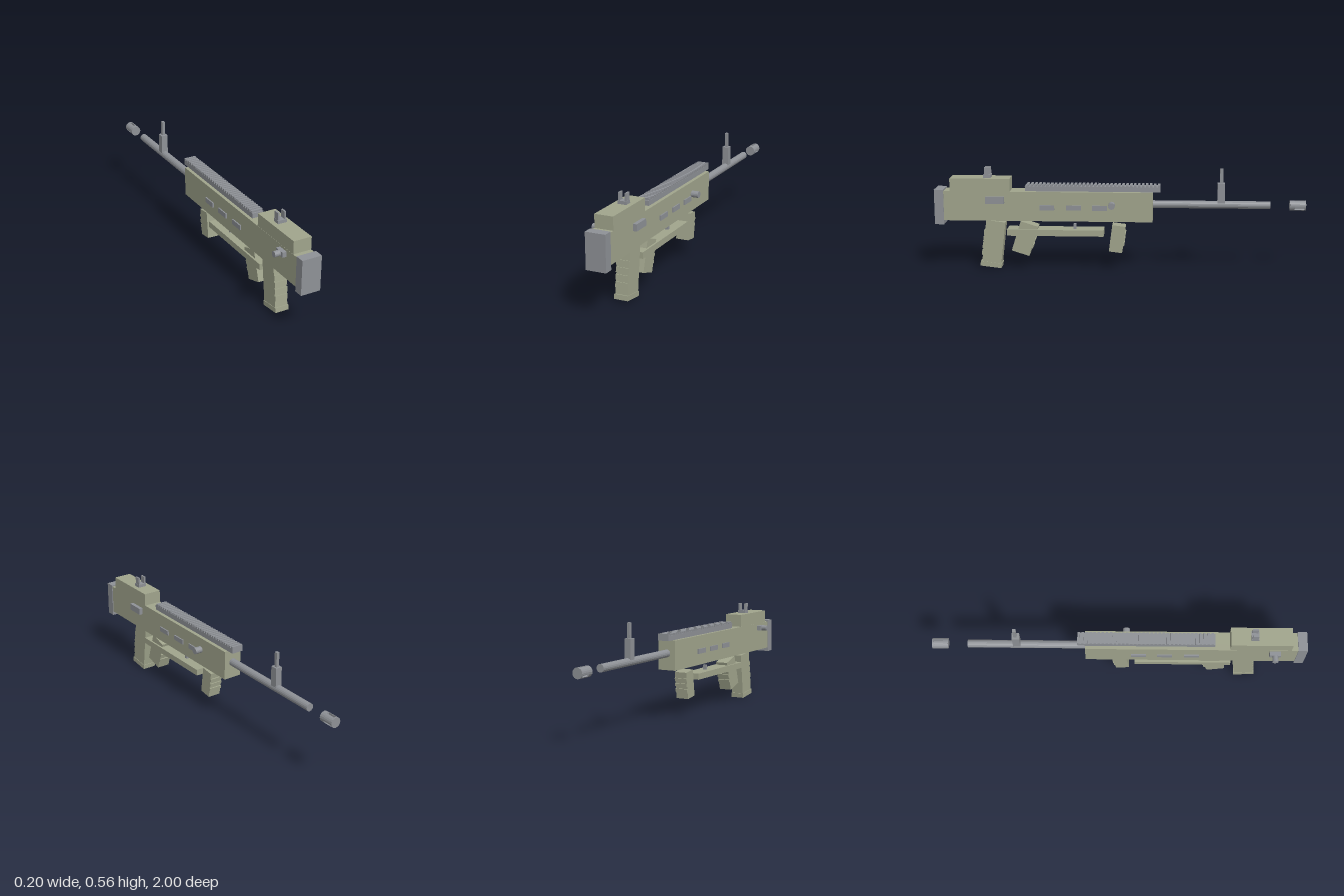
import * as THREE from 'three';

const green = new THREE.MeshStandardMaterial({ color: 0xa0a48c, flatShading: true });
const grey = new THREE.MeshStandardMaterial({ color: 0x8e9196, flatShading: true });
const CX = 0.006; // centre plane of the body

function add(parent, name, geometry, material) {
  const mesh = new THREE.Mesh(geometry, material);
  mesh.name = name;
  parent.add(mesh);
  return mesh;
}

// Box given by its limits on each axis
function block(parent, name, material, [x0, x1], [y0, y1], [z0, z1]) {
  const mesh = add(parent, name, new THREE.BoxGeometry(x1 - x0, y1 - y0, z1 - z0), material);
  mesh.position.set((x0 + x1) / 2, (y0 + y1) / 2, (z0 + z1) / 2);
  return mesh;
}

// Cylinder along x or z between two limits
function rod(parent, name, axis, radius, a, b, x, y, z) {
  const geometry = new THREE.CylinderGeometry(radius, radius, b - a, 16);
  if (axis === 'z') geometry.rotateX(Math.PI / 2);
  else geometry.rotateZ(Math.PI / 2);
  const mesh = add(parent, name, geometry, grey);
  mesh.position.set(x, y, z);
  mesh.position[axis] = (a + b) / 2;
  return mesh;
}

// Leaning handle hanging from a top centre, with ridges on one face
function handle(parent, name, y, z, length, depth, lean, ridgeSide, ridges) {
  const group = new THREE.Group();
  group.name = name;
  group.position.set(CX, y, z);
  group.rotation.x = -lean;
  parent.add(group);
  const w = 0.036, d = depth / 2;
  block(group, name + 'Core', green, [-w, w], [-length, 0], [-d, d]);
  for (let i = 0; i < ridges; i++) {
    const top = -length * (0.22 + 0.6 * i / ridges);
    const face = ridgeSide * d;
    block(group, name + 'Ridge', green, [-w, w], [top - length * 0.11, top],
      [Math.min(face, face + ridgeSide * 0.006), Math.max(face, face + ridgeSide * 0.006)]);
  }
  return group;
}

export function createModel() {
  const model = new THREE.Group();
  model.name = 'model';

  // Main housing
  block(model, 'body', green, [-0.045, 0.057], [0.272, 0.433], [-0.18, 0.955]);
  block(model, 'upperHousing', green, [-0.044, 0.057], [0.433, 0.503], [0.59, 0.915]);
  block(model, 'buttPlate', grey, [-0.048, 0.061], [0.25, 0.441], [0.95, 1]);

  // Top rail with cross teeth
  block(model, 'rail', grey, [-0.027, 0.037], [0.433, 0.46], [-0.22, 0.51]);
  const teeth = 34, pitch = 0.73 / teeth;
  for (let i = 0; i < teeth; i++) {
    const z = -0.22 + i * pitch;
    block(model, 'railTooth', grey, [-0.027, 0.037], [0.46, 0.47], [z, z + pitch * 0.6]);
  }

  // Rear sight
  block(model, 'rearSightBase', grey, [-0.018, 0.031], [0.5, 0.52], [0.695, 0.735]);
  for (const side of [-1, 1]) {
    const x = CX + side * 0.0185;
    block(model, 'rearSightProng', grey, [x - 0.0045, x + 0.0045], [0.52, 0.56], [0.698, 0.73]);
  }

  // Barrel and front sight
  rod(model, 'barrel', 'z', 0.021, -0.81, -0.18, CX, 0.362, 0);
  block(model, 'frontSightBase', grey, [CX - 0.018, CX + 0.018], [0.365, 0.48], [-0.566, -0.527]);
  block(model, 'frontSightPost', grey, [CX - 0.008, CX + 0.008], [0.48, 0.56], [-0.556, -0.539]);

  // Muzzle: a slotted section between two plain discs
  const outline = new THREE.Shape();
  const half = 0.26, points = [];
  for (let s = 0; s < 3; s++) {
    const mid = Math.PI / 2 + s * Math.PI * 2 / 3;
    points.push([0.018, mid - 0.4], [0.018, mid + 0.4]);
    const start = mid + half, span = Math.PI * 2 / 3 - 2 * half;
    for (let i = 0; i <= 5; i++) points.push([0.028, start + span * i / 5]);
  }
  outline.setFromPoints(points.map(([r, a]) => new THREE.Vector2(r * Math.cos(a), r * Math.sin(a))));
  const slotted = add(model, 'muzzleSlots',
    new THREE.ExtrudeGeometry(outline, { depth: 0.052, bevelEnabled: false }), grey);
  slotted.position.set(CX, 0.362, -0.992);
  rod(model, 'muzzleRear', 'z', 0.028, -0.94, -0.915, CX, 0.362, 0);
  rod(model, 'muzzleTip', 'z', 0.028, -1, -0.992, CX, 0.362, 0);

  // Side vents on both faces
  for (const z of [0.065, 0.205, 0.35]) {
    block(model, 'leftVent', grey, [0.05, 0.064], [0.334, 0.361], [z, z + 0.08]);
    block(model, 'rightVent', grey, [-0.052, -0.04], [0.334, 0.361], [z, z + 0.08]);
  }

  // Side controls
  block(model, 'sidePlate', grey, [0.05, 0.078], [0.37, 0.407], [0.62, 0.72]);
  rod(model, 'leftKnob', 'x', 0.018, 0.05, 0.098, 0, 0.366, 0.04);
  block(model, 'rightKnobBase', grey, [-0.068, -0.04], [0.393, 0.42], [0.8, 0.86]);
  rod(model, 'rightKnob', 'x', 0.016, -0.1, -0.066, 0, 0.406, 0.83);

  // Rear handle with foot plate, middle box and front handle
  const rear = handle(model, 'rearHandle', 0.265, 0.671, 0.252, 0.105, 0.12, 1, 4);
  block(rear, 'rearHandleFoot', green, [-0.0385, 0.0385], [-0.258, -0.232], [-0.056, 0.06]);
  handle(model, 'middleBox', 0.252, 0.488, 0.172, 0.1, 0.305, -1, 3);
  handle(model, 'frontHandle', 0.246, 0.002, 0.148, 0.073, 0.13, -1, 3);

  // Lower guard bar and its small lever
  block(model, 'guardBar', green, [-0.04, 0.052], [0.188, 0.222], [0.085, 0.61]);
  block(model, 'lever', grey, [CX - 0.01, CX + 0.01], [0.222, 0.25], [0.235, 0.25]);

  return model;
}
